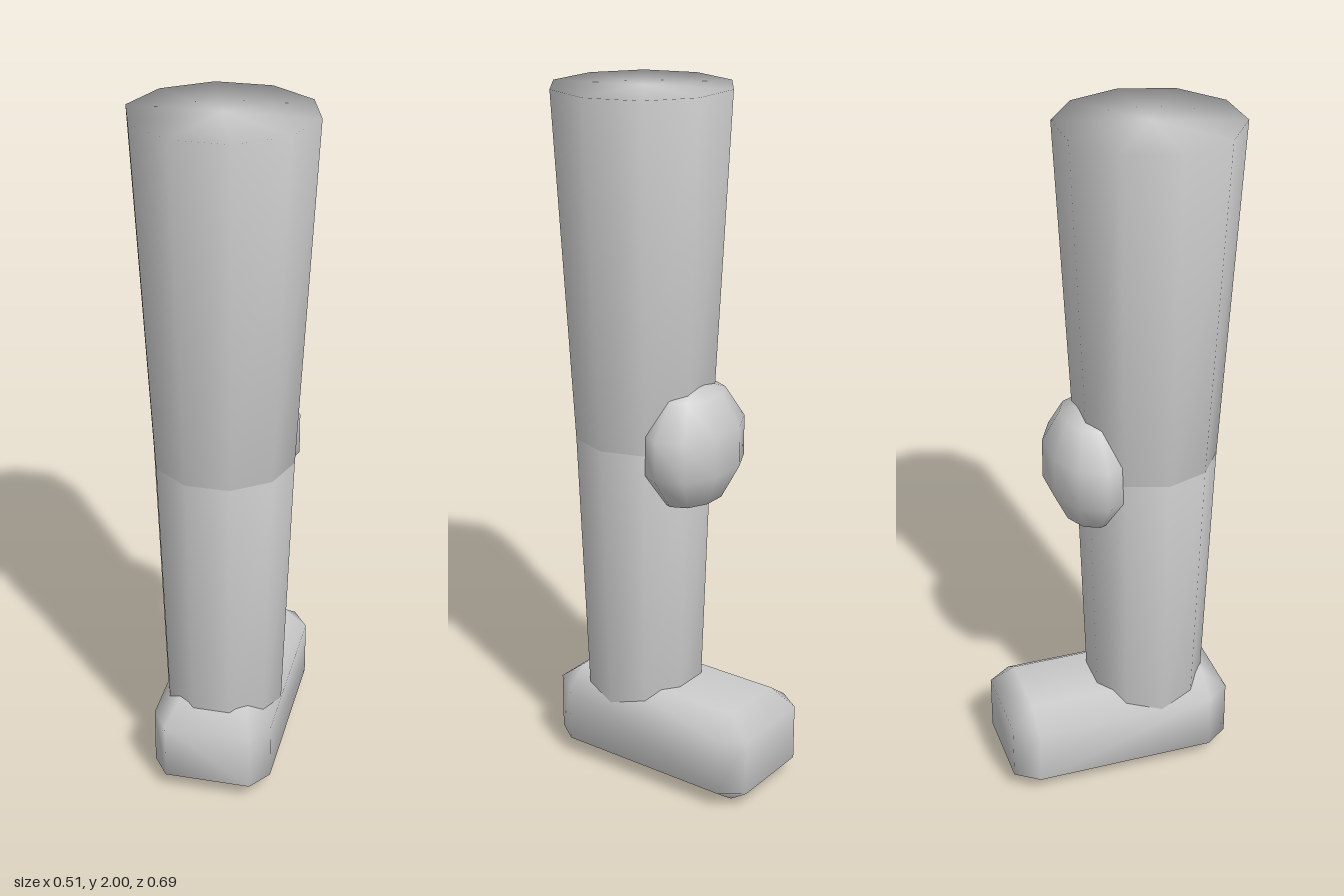
import * as THREE from 'three';
import { mergeVertices } from 'three/addons/utils/BufferGeometryUtils.js';
import { ConvexGeometry } from 'three/addons/geometries/ConvexGeometry.js';

// Weld all corners so that normals run smoothly over every edge
function smooth(geometry) {
  geometry.deleteAttribute('normal');
  geometry.deleteAttribute('uv');
  const welded = mergeVertices(geometry, 1e-4);
  welded.computeVertexNormals();
  return welded;
}

// Ten-sided tapered segment with corners on the x axis
function legSegment(topRadius, bottomRadius, topY, bottomY) {
  const g = new THREE.CylinderGeometry(topRadius, bottomRadius, topY - bottomY, 10, 1, false, Math.PI / 10);
  return smooth(g.translate(0, (topY + bottomY) / 2, 0.104));
}

// Box with chamfered edges: each face is an inset rectangle
function chamferedBox(hx, hy, hz) {
  const points = [];
  for (const x of [-1, 1]) for (const y of [-1, 1]) for (const z of [-1, 1]) {
    points.push(
      new THREE.Vector3(x * hx, y * (hy - 0.053), z * (hz - 0.068)),
      new THREE.Vector3(x * (hx - 0.073), y * hy, z * (hz - 0.068)),
      new THREE.Vector3(x * (hx - 0.048), y * (hy - 0.053), z * hz)
    );
  }
  return smooth(new ConvexGeometry(points));
}

export function createModel() {
  const group = new THREE.Group();
  group.name = 'leg';
  const grey = new THREE.MeshStandardMaterial({ color: 0xcccccc });
  grey.name = 'light grey';

  const add = (name, geometry) => {
    const mesh = new THREE.Mesh(geometry, grey);
    mesh.name = name;
    group.add(mesh);
    return mesh;
  };

  add('thigh', legSegment(0.253, 0.2, 2, 1.02));
  add('shin', legSegment(0.2, 0.169, 1.02, 0.14));

  // Flattened ball half sunk into the leg
  const knee = new THREE.SphereGeometry(0.19, 10, 5).scale(1, 1, 0.685);
  add('kneecap', smooth(knee)).position.set(0, 1.02, -0.067);

  add('foot', chamferedBox(0.173, 0.1375, 0.335)).position.set(0, 0.1375, -0.01);

  return group;
}
